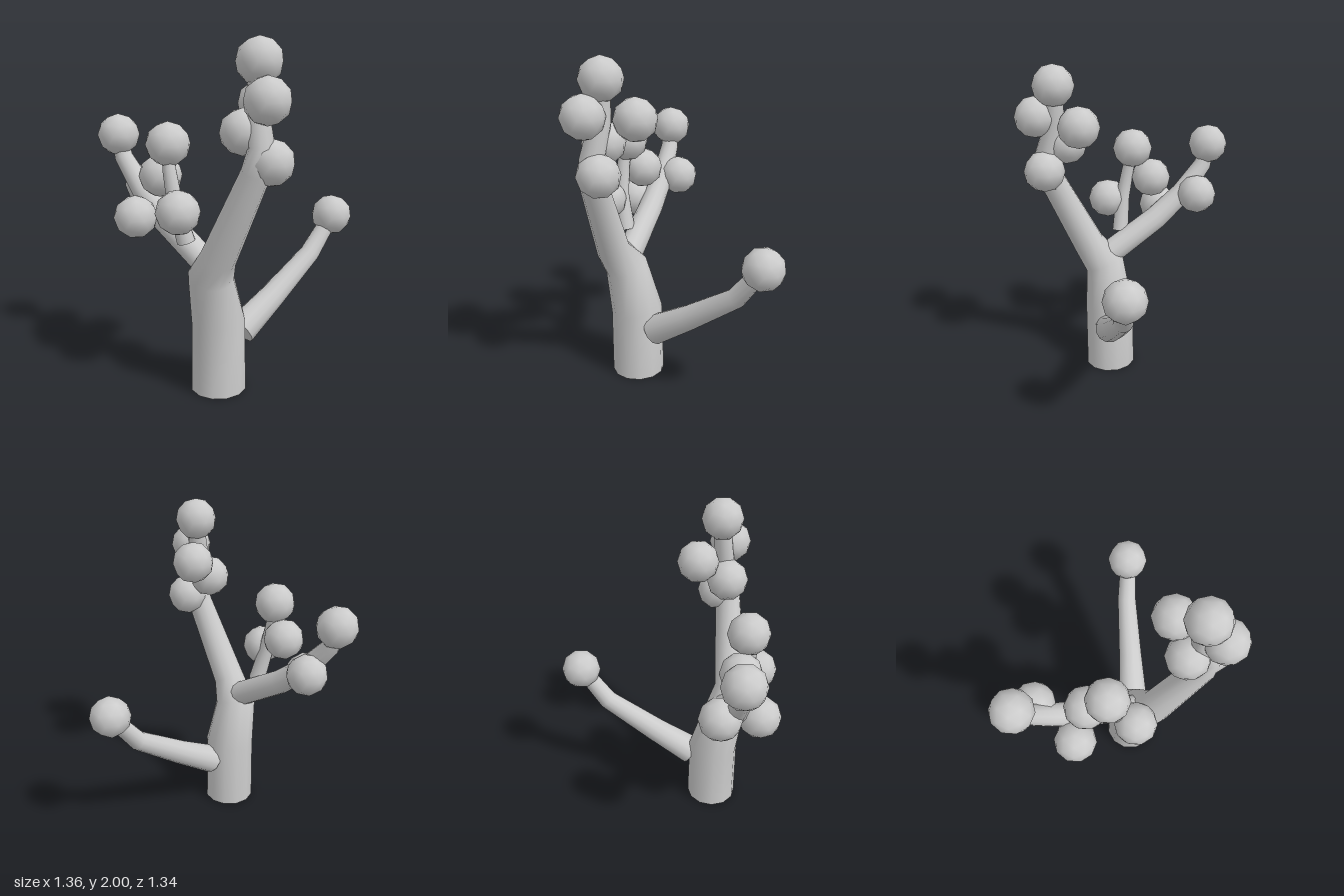
import * as THREE from 'three';

const material = new THREE.MeshStandardMaterial({ color: 0xcccccc });
const SIDES = 12;

// Tapered tube swept through [x, y, z, radius] stations, closed by flat caps
function taperedTube(stations) {
  const pts = stations.map(([x, y, z]) => new THREE.Vector3(x, y, z));
  const last = pts.length - 1;
  const tangents = pts.map((p, i) => {
    const t = new THREE.Vector3();
    if (i > 0) t.add(p.clone().sub(pts[i - 1]).normalize());
    if (i < last) t.add(pts[i + 1].clone().sub(p).normalize());
    return t.normalize();
  });
  const positions = [], indices = [], rings = [];
  const frame = new THREE.Quaternion();
  let previous = new THREE.Vector3(0, 1, 0);
  const addRing = (ring) => {
    const start = positions.length / 3;
    ring.forEach((v) => positions.push(v.x, v.y, v.z));
    return start;
  };

  // Carry the frame along the path so the wall does not twist
  pts.forEach((p, i) => {
    frame.premultiply(new THREE.Quaternion().setFromUnitVectors(previous, tangents[i]));
    previous = tangents[i];
    const ring = [];
    for (let j = 0; j < SIDES; j++) {
      const a = (j / SIDES) * Math.PI * 2;
      ring.push(new THREE.Vector3(Math.sin(a), 0, Math.cos(a))
        .multiplyScalar(stations[i][3]).applyQuaternion(frame).add(p));
    }
    rings.push(ring);
    addRing(ring);
  });
  for (let i = 0; i < last; i++) {
    for (let j = 0; j < SIDES; j++) {
      const k = (j + 1) % SIDES;
      const a = i * SIDES + j, b = i * SIDES + k;
      indices.push(a, b, b + SIDES, a, b + SIDES, a + SIDES);
    }
  }

  // Caps have their own vertices, keeping the rims sharp
  const bottom = addRing(rings[0]);
  const top = addRing(rings[last]);
  for (let j = 1; j < SIDES - 1; j++) {
    indices.push(bottom, bottom + j + 1, bottom + j, top, top + j, top + j + 1);
  }
  const geometry = new THREE.BufferGeometry();
  geometry.setAttribute('position', new THREE.Float32BufferAttribute(positions, 3));
  geometry.setIndex(indices);
  geometry.computeVertexNormals();
  return geometry;
}

export function createModel() {
  const model = new THREE.Group();
  model.name = 'tree';

  const branches = {
    trunk: [
      [0.155, 0, 0.317, 0.16], [0.155, 0.42, 0.317, 0.156], [0.16, 0.7, 0.38, 0.13],
      [0.25, 0.83, 0.415, 0.1], [0.485, 1.32, 0.39, 0.078], [0.51, 1.45, 0.375, 0.07],
      [0.45, 1.66, 0.345, 0.06], [0.455, 1.85, 0.33, 0.05],
    ],
    rightBranch: [
      [0.16, 0.74, 0.375, 0.08], [-0.2, 0.96, 0.385, 0.075], [-0.38, 1.11, 0.385, 0.068],
      [-0.53, 1.29, 0.395, 0.055], [-0.565, 1.42, 0.4, 0.045],
    ],
    uprightTwig: [
      [0.03, 0.885, 0.44, 0.052], [-0.005, 1.1, 0.485, 0.045],
      [-0.045, 1.29, 0.485, 0.038], [-0.07, 1.4, 0.465, 0.035],
    ],
    backBranch: [
      [0.2, 0.32, 0.175, 0.093], [0.24, 0.47, -0.07, 0.076],
      [0.29, 0.68, -0.38, 0.06], [0.33, 0.88, -0.53, 0.05],
    ],
  };
  for (const [name, stations] of Object.entries(branches)) {
    const mesh = new THREE.Mesh(taperedTube(stations), material);
    mesh.name = name;
    model.add(mesh);
  }

  // Leaf balls: one low-poly sphere with a vertex straight up
  const ball = new THREE.IcosahedronGeometry(0.124, 1);
  ball.rotateZ(Math.atan(2 / (1 + Math.sqrt(5))));
  const foliage = new THREE.Group();
  foliage.name = 'foliage';
  [
    // crown of the trunk
    [0.455, 1.876, 0.33], [0.35, 1.655, 0.19], [0.557, 1.69, 0.39],
    [0.382, 1.52, 0.37], [0.533, 1.375, 0.325],
    // right branch
    [-0.565, 1.422, 0.4], [-0.45, 1.122, 0.3], [-0.273, 0.995, 0.54],
    // upright twig
    [-0.18, 1.23, 0.425], [-0.07, 1.424, 0.467], [0.078, 1.08, 0.545],
    // back branch
    [0.33, 0.9, -0.545],
  ].forEach(([x, y, z]) => {
    const leaf = new THREE.Mesh(ball, material);
    leaf.name = 'leafBall';
    leaf.position.set(x, y, z);
    foliage.add(leaf);
  });
  model.add(foliage);
  return model;
}
